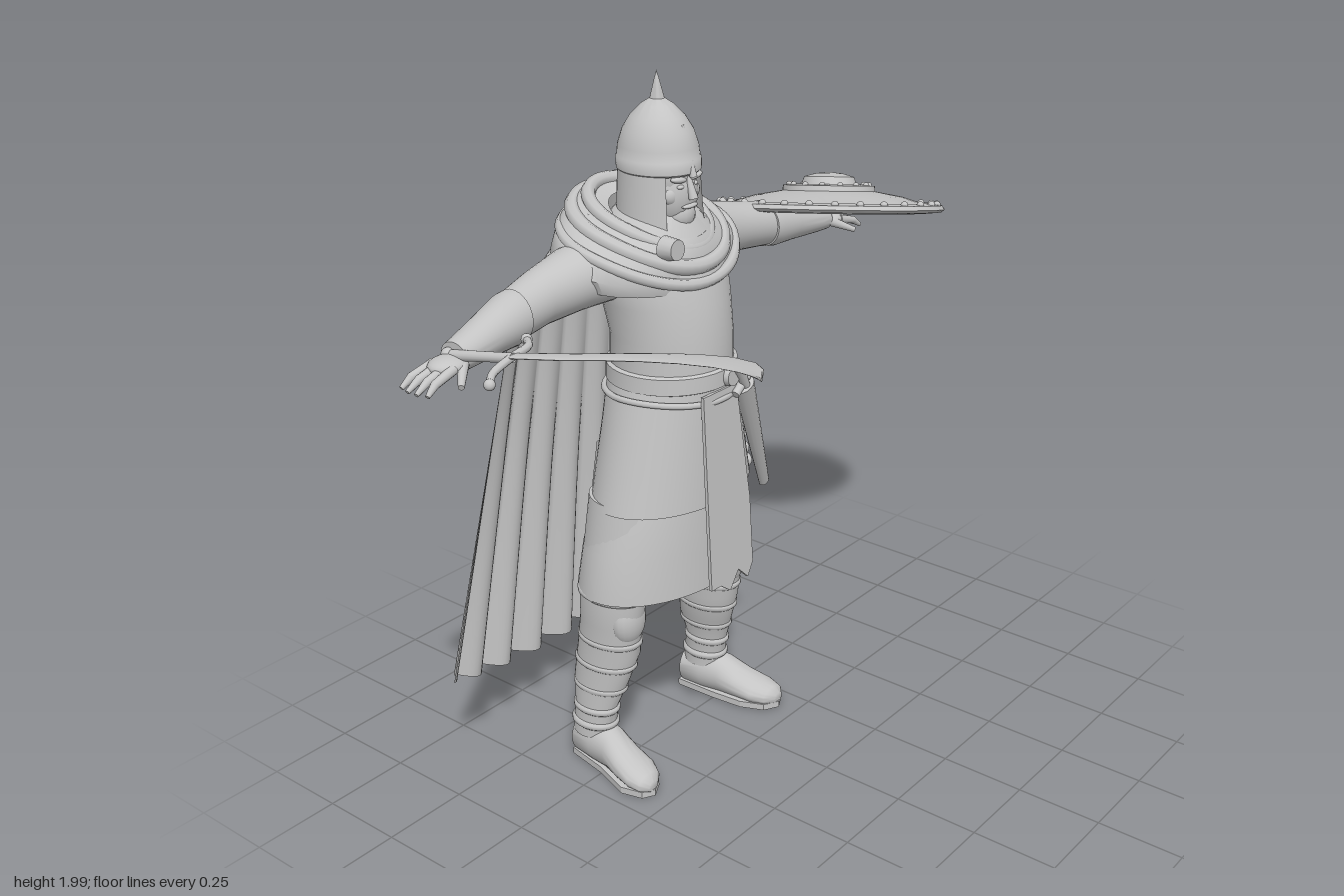
import * as THREE from 'three';
import { toCreasedNormals } from 'three/addons/utils/BufferGeometryUtils.js';

const grey = new THREE.MeshStandardMaterial({ color: 0xc4c4c4, side: THREE.DoubleSide });
grey.name = 'plain grey';
const V = (x, y, z) => new THREE.Vector3(x, y, z);
const CX = -0.12; // body centre line

function add(parent, name, geo, x = 0, y = 0, z = 0) {
  const m = new THREE.Mesh(geo, grey);
  m.name = name;
  m.position.set(x, y, z);
  parent.add(m);
  return m;
}

// Surface through a grid of points; point(u, v) with u, v in 0..1
function grid(nu, nv, point) {
  const pos = [], idx = [];
  for (let j = 0; j <= nv; j++) for (let i = 0; i <= nu; i++) pos.push(...point(i / nu, j / nv).toArray());
  for (let j = 0; j < nv; j++) for (let i = 0; i < nu; i++) {
    const a = j * (nu + 1) + i, b = a + nu + 1;
    idx.push(a, b, a + 1, a + 1, b, b + 1);
  }
  const g = new THREE.BufferGeometry();
  g.setAttribute('position', new THREE.Float32BufferAttribute(pos, 3));
  g.setIndex(idx);
  g.computeVertexNormals();
  return g;
}

// Skin over elliptical sections [x, y, z, a, b, tilt] set square to an axis
function loft(axis, sections, capped = true, n = 36) {
  const pos = [], idx = [], S = sections.length;
  for (const [x, y, z, a, b, tilt = 0] of sections) for (let i = 0; i < n; i++) {
    const t = i / n * Math.PI * 2, c = a * Math.cos(t), s = b * Math.sin(t);
    if (axis === 'y') pos.push(x + c, y - tilt * s, z + s);
    else if (axis === 'x') pos.push(x, y + c, z + s);
    else pos.push(x + c, y + s, z);
  }
  for (let j = 0; j < S - 1; j++) for (let i = 0; i < n; i++) {
    const a = j * n + i, b = j * n + (i + 1) % n;
    idx.push(a, a + n, b, b, a + n, b + n);
  }
  if (capped) for (const j of [0, S - 1]) {
    const c = pos.length / 3;
    pos.push(...sections[j].slice(0, 3));
    for (let i = 0; i < n; i++) {
      const a = j * n + i, b = j * n + (i + 1) % n;
      idx.push(c, ...(j ? [b, a] : [a, b]));
    }
  }
  const g = new THREE.BufferGeometry();
  g.setAttribute('position', new THREE.Float32BufferAttribute(pos, 3));
  g.setIndex(idx);
  return toCreasedNormals(g, 0.9);
}

// Tapered round bar between two points
function rod(parent, name, a, b, r1, r2, flat = 1) {
  const d = b.clone().sub(a);
  const m = add(parent, name, new THREE.CylinderGeometry(r2, r1, d.length(), 14));
  m.position.copy(a).addScaledVector(d, 0.5);
  m.quaternion.setFromUnitVectors(V(0, 1, 0), d.normalize());
  m.scale.z = flat;
}
function ball(parent, name, x, y, z, rx, ry, rz) {
  const m = add(parent, name, new THREE.SphereGeometry(1, 20, 14), x, y, z);
  m.scale.set(rx, ry, rz);
  return m;
}
function tube(parent, name, pts, r, closed = false) {
  const c = new THREE.CatmullRomCurve3(pts, closed);
  add(parent, name, new THREE.TubeGeometry(c, 60, r, 8, closed));
}
// Closed path round the body, tipped forward and sagging at the front
const hoop = (y, z, rx, rz, tilt, sag) => Array.from({ length: 24 }, (_, i) => {
  const t = i / 24 * Math.PI * 2, s = Math.sin(t);
  return V(CX + rx * Math.cos(t), y - tilt * rz * s - sag * Math.max(0, s) ** 2, z + rz * s);
});
const outline = pts => new THREE.Shape(pts.map(p => new THREE.Vector2(...p)));
const turned = (pts, start = 0, len = Math.PI * 2) =>
  toCreasedNormals(new THREE.LatheGeometry(pts.map(p => new THREE.Vector2(...p)), 40, start, len), 0.7);

// One arm and hand, built toward +x from the centre line
function makeArm() {
  const g = new THREE.Group();
  add(g, 'sleeve', loft('x', [[.12, 1.5, -.29, .09, .11], [.28, 1.487, -.31, .084, .085], [.4, 1.47, -.31, .072, .07],
    [.52, 1.455, -.288, .064, .063]]));
  add(g, 'bracer', loft('x', [[.5, 1.457, -.29, .068, .068], [.53, 1.453, -.287, .069, .069], [.6, 1.445, -.275, .058, .06],
    [.7, 1.432, -.257, .044, .05], [.74, 1.428, -.25, .038, .046]]));
  ball(g, 'palm', .765, 1.42, -.243, .055, .022, .046);
  [-.285, -.258, -.23, -.203].forEach((z, i) => {
    const k = V(.845, 1.403, z), len = i === 0 || i === 3 ? .03 : .038;
    rod(g, 'finger', V(.78, 1.42, z * .85 - .036), k, .013, .011);
    ball(g, 'knuckle', ...k.toArray(), .011, .011, .011);
    rod(g, 'fingertip', k, V(.845 + len, 1.382, z * 1.1 + .025), .011, .006);
  });
  rod(g, 'thumb', V(.745, 1.42, -.215), V(.8, 1.39, -.165), .015, .008);
  return g;
}

// One leg with greave and boot, offset toward +x
function makeLeg() {
  const g = new THREE.Group();
  add(g, 'leg', loft('y', [[.15, .85, -.24, .11, .12], [.2, .65, -.25, .09, .11], [.222, .54, -.255, .078, .105],
    [.225, .48, -.262, .07, .1], [.222, .38, -.277, .072, .102], [.235, .28, -.298, .062, .09], [.25, .2, -.308, .051, .07],
    [.25, .1, -.32, .054, .068]]));
  ball(g, 'kneeGuard', .225, .5, -.197, .058, .08, .043);
  for (const [y, x, z, a, b] of [[.57, .22, -.253, .082, .11], [.42, .223, -.27, .072, .102], [.34, .227, -.285, .069, .099],
    [.26, .238, -.3, .06, .086], [.19, .25, -.308, .054, .072], [.14, .25, -.315, .057, .072]])
    add(g, 'greaveBand', loft('y', [[x, y - .012, z, a - .004, b - .004], [x, y - .005, z, a + .003, b + .003],
      [x, y + .005, z, a + .003, b + .003], [x, y + .012, z, a - .004, b - .004]]));
  add(g, 'boot', loft('z', [[.24, .05, -.39, .03, .04], [.243, .065, -.375, .05, .06], [.25, .07, -.3, .055, .068],
    [.258, .068, -.24, .053, .063], [.27, .052, -.18, .058, .046], [.28, .042, -.12, .06, .036], [.288, .035, -.08, .045, .028],
    [.292, .03, -.06, .018, .016]]));
  const sole = outline([[.2, .385], [.28, .385], [.305, .25], [.342, .14], [.325, .075], [.29, .055], [.245, .08], [.215, .15],
    [.205, .25]]);
  add(g, 'sole', new THREE.ExtrudeGeometry(sole, { depth: .02, bevelEnabled: false })).rotation.x = -Math.PI / 2;
  return g;
}

function makeShield() {
  const g = new THREE.Group();
  add(g, 'shieldFace', turned([[.3, -.012], [.34, -.008], [.35, 0], [.342, .012], [.305, .018], [.3, .012], [.22, .036],
    [.14, .05], [.138, .066], [.1, .07], [.095, .062], [.085, .066], [.075, .092], [.04, .102], [0, .106]]));
  add(g, 'shieldBack', turned([[0, .04], [.15, .03], [.3, -.012]]));
  for (const [n, r, y, s] of [[28, .327, .015, .011], [14, .12, .068, .009]]) for (let i = 0; i < n; i++) {
    const t = i / n * Math.PI * 2;
    ball(g, 'rivet', r * Math.cos(t), y, r * Math.sin(t), s, s, s);
  }
  g.position.set(.655, 1.45, -.245);
  g.quaternion.setFromUnitVectors(V(0, 1, 0), V(.22, 1, -.15).normalize());
  return g;
}

function makeSword() {
  const g = new THREE.Group();
  const blade = [[-.06, -.845, .02], [.1, -.82, .025], [.2, -.795, .028], [.3, -.777, .031], [.4, -.766, .035], [.5, -.768, .037],
    [.58, -.787, .033], [.63, -.815, .022], [.67, -.853, .002]];
  add(g, 'blade', loft('z', blade.map(([z, x, w]) => [x, 1.482 + .17 * z, z, w, .005]), true, 12));
  rod(g, 'grip', V(-.865, 1.435, -.25), V(-.848, 1.468, -.06), .014, .012);
  ball(g, 'pommel', -.865, 1.433, -.265, .018, .018, .018);
  tube(g, 'crossguard', [V(-.95, 1.44, -.035), V(-.92, 1.452, -.055), V(-.85, 1.468, -.065), V(-.78, 1.472, -.08),
    V(-.745, 1.47, -.12)], .01);
  ball(g, 'guardTip', -.95, 1.44, -.035, .014, .014, .014);
  ball(g, 'guardTip', -.745, 1.47, -.12, .014, .014, .014);
  return g;
}

function makeHead() {
  const g = new THREE.Group();
  ball(g, 'skull', 0, 1.73, -.24, .09, .12, .105);
  ball(g, 'face', 0, 1.68, -.2, .074, .095, .07);
  ball(g, 'beard', 0, 1.625, -.185, .05, .052, .054);
  ball(g, 'moustache', 0, 1.652, -.136, .03, .007, .012);
  rod(g, 'nose', V(0, 1.672, -.122), V(0, 1.73, -.14), .013, .007);
  for (const s of [-1, 1]) {
    ball(g, 'brow', s * .032, 1.725, -.145, .028, .009, .014).rotation.z = s * .15;
    ball(g, 'cheek', s * .04, 1.682, -.165, .028, .026, .02);
    ball(g, 'eye', s * .028, 1.706, -.143, .012, .006, .009);
  }
  rod(g, 'neck', V(0, 1.5, -.27), V(0, 1.66, -.25), .085, .07);
  const helmet = add(g, 'helmet', turned([[.1, 1.735], [.105, 1.74], [.106, 1.768], [.103, 1.772], [.1, 1.8], [.088, 1.84],
    [.068, 1.875], [.04, 1.905], [.018, 1.92], [.012, 1.945], [.006, 1.97], [0, 1.992]]), 0, 0, -.24);
  const guard = add(g, 'neckGuard', turned([[.1, 1.765], [.104, 1.7], [.107, 1.64], [.112, 1.575]], .75, Math.PI * 2 - 1.5), 0, 0, -.24);
  helmet.scale.z = guard.scale.z = 1.12;
  rod(g, 'browRidge', V(0, 1.73, -.121), V(0, 1.86, -.158), .01, .006);
  g.position.x = CX;
  return g;
}

export function createModel() {
  const root = new THREE.Group();
  root.name = 'caped warrior';
  // Torso and the two-tier coat
  add(root, 'torso', loft('y', [[CX, 1.17, -.21, .17, .17], [CX, 1.3, -.208, .168, .168], [CX, 1.4, -.225, .182, .17],
    [CX, 1.5, -.25, .2, .168], [CX, 1.57, -.26, .18, .15], [CX, 1.64, -.26, .09, .1]]));
  add(root, 'lowerCoat', loft('y', [[CX, .9, -.225, .225, .17], [CX, .83, -.228, .248, .176], [CX, .7, -.238, .29, .188],
    [CX, .57, -.247, .308, .198]], false, 48));
  add(root, 'upperCoat', loft('y', [[CX, 1.2, -.21, .172, .172], [CX, 1.05, -.213, .21, .178], [CX, .83, -.22, .266, .186],
    [CX, .83, -.22, .245, .173]], false, 48));
  const apron = outline([[-.2, 0], [-.06, 0], [-.025, -.35], [-.025, -.55], [-.05, -.59], [-.09, -.55], [-.13, -.6], [-.17, -.57],
    [-.21, -.57]]);
  add(root, 'frontPanel', new THREE.ExtrudeGeometry(apron, { depth: .01, bevelEnabled: false }), 0, 1.16, -.041).rotation.x = -.05;
  add(root, 'backPanel', grid(6, 6, (u, v) => V(CX - .115 + .23 * u, .95 - .5 * v, -.395 - .09 * v)));
  // Belt, sash and scabbard
  add(root, 'belt', loft('y', [[CX, 1.165, -.21, .172, .172], [CX, 1.17, -.21, .183, .181], [CX, 1.215, -.21, .181, .18],
    [CX, 1.22, -.21, .17, .17]], false));
  tube(root, 'sash', hoop(1.145, -.212, .19, .18, -.05, .02), .009, true);
  rod(root, 'buckle', V(CX + .03, 1.192, -.035), V(CX + .03, 1.192, -.015), .03, .026);
  rod(root, 'scabbard', V(.19, .745, -.13), V(-.035, 1.15, -.025), .018, .034, .7);
  rod(root, 'daggerGuard', V(-.08, 1.135, -.02), V(.005, 1.185, -.03), .012, .012);
  rod(root, 'daggerHilt', V(-.035, 1.15, -.02), V(-.075, 1.215, -.012), .013, .016);
  for (let i = 0; i < 5; i++) ball(root, 'hangingBead', .105 + .01 * i, .99 - i * .042, -.17, .016, .024, .016 + .003 * i);
  // Limbs
  for (const s of [-1, 1]) for (const [name, make] of [['arm', makeArm], ['leg', makeLeg]]) {
    const limb = make();
    limb.name = (s > 0 ? 'left ' : 'right ') + name;
    limb.position.x = CX;
    limb.scale.x = s;
    root.add(limb);
  }
  // Head, shield and sword
  for (const [name, make] of [['head', makeHead], ['shield', makeShield], ['sword', makeSword]]) {
    const part = make();
    part.name = name;
    root.add(part);
  }
  // Shoulder mantle with rolled folds and a clasp
  add(root, 'mantle', loft('y', [[CX, 1.6, -.265, .105, .125, .35], [CX, 1.625, -.28, .14, .17, .3], [CX, 1.603, -.285, .2, .19, .3],
    [CX, 1.565, -.29, .27, .2, .28], [CX, 1.515, -.29, .3, .205, .22], [CX, 1.47, -.29, .28, .2, .15]], false, 48));
  [[1.618, -.28, .15, .165, .32, .02, .02], [1.592, -.282, .205, .195, .28, .035, .022], [1.56, -.28, .26, .205, .25, .05, .016]]
    .forEach(([y, z, rx, rz, tilt, sag, r]) => tube(root, 'mantleFold', hoop(y, z, rx, rz, tilt, sag), r, true));
  rod(root, 'clasp', V(-.23, 1.565, -.13), V(-.23, 1.567, -.085), .033, .028);
  // Cape: widens downward, pleats deepen toward the hem
  add(root, 'cape', grid(108, 28, (u, v) => {
    const s = u * 2 - 1, w = .6 - .23 * (1 - v) - .2 * Math.max(0, 1 - v * 6);
    const hem = .235 + .115 * Math.abs(s) ** 3;
    const pleat = (1 - 2 * Math.abs(Math.sin(Math.PI * 4.5 * s))) * .036 * v ** 1.3 * (1 - .6 * s ** 6);
    const back = -.475 - .155 * v + .03 * Math.max(0, 1 - v * 10);
    return V(CX + s * w, 1.63 + (hem - 1.63) * v, back + s ** 4 * (.11 - .01 * v) - pleat);
  }));
  return root;
}
